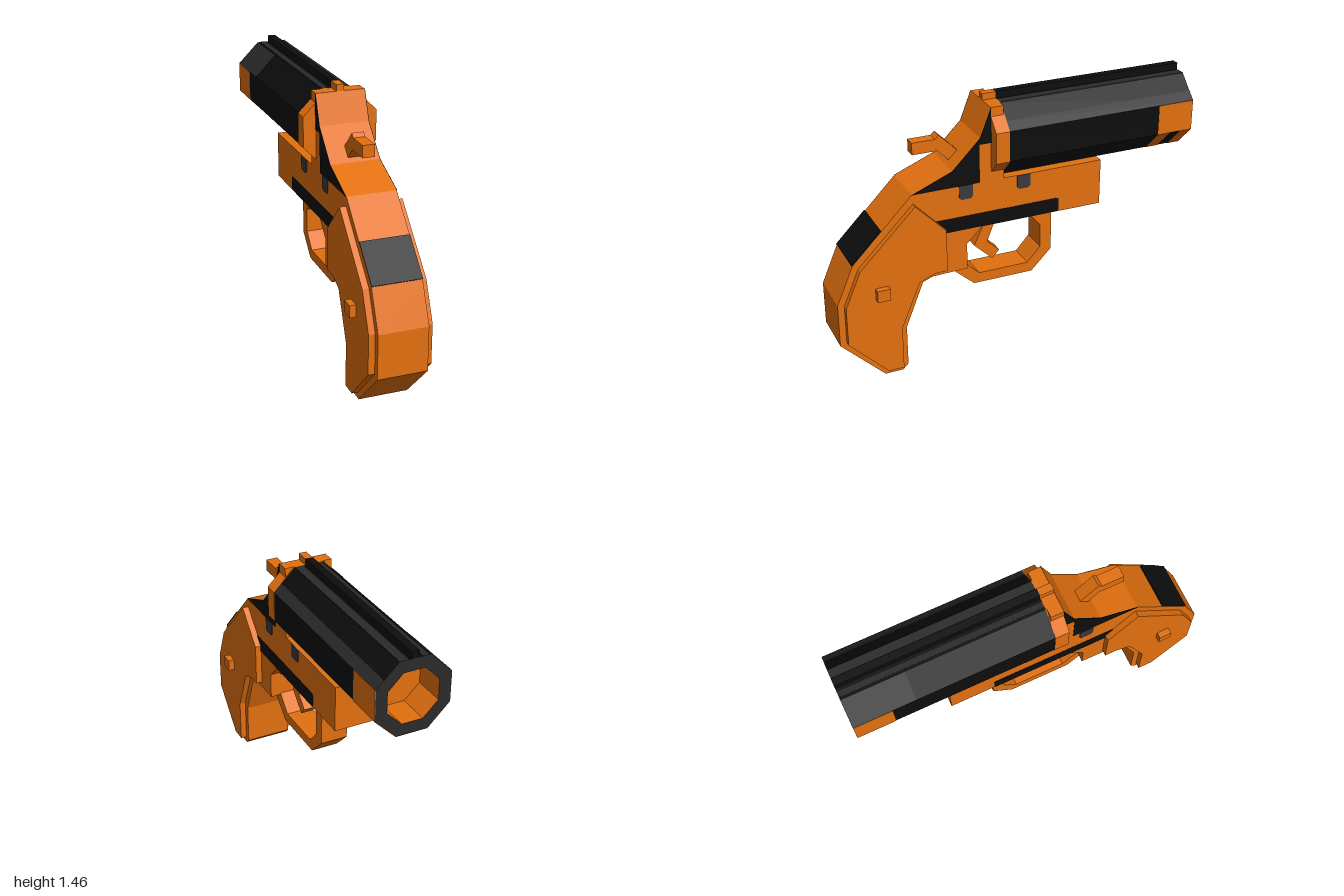
import * as THREE from 'three';

const mat = (name, color) => new THREE.MeshStandardMaterial({ name, color, side: THREE.DoubleSide });

export function createModel() {
  const orange = mat('orange', 0xe2700f);
  const black = mat('black', 0x0d0d0d);
  const grey = mat('dark grey', 0x2a2a2a);
  const pegGrey = mat('peg grey', 0x3a3a3d);
  const model = new THREE.Group();

  const add = (name, geometry, material, parent = model) => {
    const mesh = new THREE.Mesh(geometry, material);
    mesh.name = name;
    parent.add(mesh);
    return mesh;
  };
  const toPoints = (list) => list.map(([z, y]) => new THREE.Vector2(z, y));

  // Side profile of [z, y] points, extruded across x from x0 to x1
  const slab = (name, points, x0, x1, material, hole) => {
    const shape = new THREE.Shape(toPoints(points));
    if (hole) shape.holes.push(new THREE.Path(toPoints(hole)));
    const g = new THREE.ExtrudeGeometry(shape, { depth: x1 - x0, bevelEnabled: false });
    g.translate(0, 0, -x1).rotateY(-Math.PI / 2);
    return add(name, g, material);
  };
  // The same profile on both flanks
  const pair = (name, points, x0, x1, material) => {
    slab(name + 'Left', points, x0, x1, material);
    slab(name + 'Right', points, -x1, -x0, material);
  };
  const rect = (z0, z1, y0, y1) => [[z0, y0], [z1, y0], [z1, y1], [z0, y1]];

  // Frame and grip core
  slab('frame', [
    [-0.49, 1.02], [0.58, 1.02], [0.91, 0.685], [1, 0.475], [1, 0.235], [0.765, 0], [0.665, 0],
    [0.635, 0.03], [0.635, 0.26], [0.535, 0.51], [0.48, 0.53], [0.285, 0.535], [0.285, 0.68],
    [0.2, 0.765], [-0.49, 0.765],
  ], -0.132, 0.132, orange);

  // Raised grip panels with square studs
  pair('gripPanel', [
    [0.575, 0.97], [0.88, 0.665], [0.965, 0.465], [0.965, 0.25], [0.755, 0.035], [0.67, 0.035],
    [0.67, 0.28], [0.565, 0.53], [0.48, 0.565], [0.41, 0.565], [0.41, 0.8],
  ], 0.13, 0.166, orange);
  pair('gripStud', rect(0.735, 0.805, 0.485, 0.55), 0.16, 0.2, orange);

  // Black patch on the sloping back of the grip
  slab('backPatch', [[0.748, 0.85], [0.91, 0.685], [0.914, 0.689], [0.752, 0.854]], -0.132, 0.132, black);

  // Trigger guard and trigger
  slab('triggerGuard', [
    [0.37, 0.54], [0.37, 0.53], [0.225, 0.4], [-0.115, 0.4], [-0.23, 0.515], [-0.23, 0.78], [0.37, 0.78],
  ], -0.075, 0.075, orange, [
    [0.19, 0.765], [0.285, 0.67], [0.285, 0.545], [0.195, 0.457], [-0.09, 0.457],
    [-0.165, 0.54], [-0.165, 0.67], [-0.085, 0.765],
  ]);
  slab('trigger', [
    [0.13, 0.78], [0.13, 0.765], [0.205, 0.605], [0.1, 0.505], [0.06, 0.55], [0.13, 0.615],
    [0.07, 0.765], [0.07, 0.78],
  ], -0.035, 0.035, orange);

  // Rear block, with black cheeks
  slab('rearBlock', [
    [0.58, 1.02], [0.36, 1.11], [0.205, 1.265], [0.145, 1.42], [0.075, 1.42], [0.075, 1.02],
  ], -0.132, 0.132, orange);
  pair('blackCheek', [
    [0.58, 1.02], [0.36, 1.11], [0.205, 1.265], [0.145, 1.42], [0.145, 1.23], [0.21, 1.23], [0.21, 1.02],
  ], 0.131, 0.135, black);

  // Hammer
  slab('hammer', [
    [0.535, 1.19], [0.535, 1.255], [0.41, 1.255], [0.39, 1.275], [0.27, 1.155], [0.32, 1.11], [0.4, 1.19],
  ], -0.032, 0.032, orange);

  // Painted bars and pegs on the flanks
  pair('sideBar', [
    [0.48, 0.768], [-0.235, 0.768], [-0.242, 0.775], [-0.242, 0.838], [-0.235, 0.845], [0.48, 0.845],
  ], 0.131, 0.135, black);
  for (const z of [0.2875, -0.0375]) {
    pair('peg', [
      [z - 0.038, 1.02], [z - 0.038, 0.955], [z - 0.026, 0.943], [z + 0.026, 0.943],
      [z + 0.038, 0.955], [z + 0.038, 1.02],
    ], 0.131, 0.137, pegGrey);
  }

  // Eight-sided barrel group, centred on the bore axis
  const barrel = new THREE.Group();
  barrel.name = 'barrel';
  barrel.position.y = 1.22;
  model.add(barrel);
  const R = 0.198 / Math.cos(Math.PI / 8);
  const bore = 0.135 / Math.cos(Math.PI / 8);
  const tube = (radius, z0, z1, open) => new THREE.CylinderGeometry(radius, radius, z1 - z0, 8, 1, open, Math.PI / 8)
    .rotateX(Math.PI / 2).translate(0, 0, (z0 + z1) / 2).toNonIndexed();
  const flat = (g) => { g.computeVertexNormals(); return g; };
  add('barrelShell', flat(tube(R, -1, 0.08, true)), black, barrel);
  add('boreWall', flat(tube(bore, -1, -0.83, true).scale(1, 1, 1)), orange, barrel);
  add('boreFloor', new THREE.CircleGeometry(bore, 8, Math.PI / 8).rotateY(Math.PI).translate(0, 0, -0.83), orange, barrel);
  add('muzzleRing', new THREE.RingGeometry(bore, R, 8, 1, Math.PI / 8).rotateY(Math.PI).translate(0, 0, -1), grey, barrel);
  add('collar', flat(tube(0.2 / Math.cos(Math.PI / 8), 0.07, 0.145, false)), orange, barrel);

  // Thin plate on one barrel face; angle is measured from the top towards +x
  const plate = (name, degrees, u0, u1, z0, z1, material) => {
    const g = new THREE.BoxGeometry(u1 - u0, 0.004, z1 - z0);
    g.translate((u0 + u1) / 2, 0.198, (z0 + z1) / 2).rotateZ(-degrees * Math.PI / 180);
    add(name, g, material, barrel);
  };
  for (const s of [1, -1]) {
    plate('muzzleSidePatch', s * 90, -0.082, 0.082, -1, -0.795, orange);
    plate('muzzleLowerStripe', s * 135, -0.082, 0.082, -1, -0.93, orange);
    plate('muzzleLowerStripe', s * 135, -0.082, 0.082, -0.865, -0.795, orange);
  }
  plate('slopeStrip', 45, 0.023, 0.082, -1, 0.07, grey);
  plate('slopePatch', -45, -0.082, 0.082, -1, -0.67, grey);
  plate('topStrip', 0, 0.035, 0.08, -1, 0.07, grey);
  plate('topStrip', 0, -0.07, -0.04, -1, 0.07, grey);

  // Sighting rib, with an orange rear end
  const rib = (name, z0, z1, material) => add(name,
    new THREE.BoxGeometry(0.042, 0.05, z1 - z0).translate(0, 0.21, (z0 + z1) / 2), material, barrel);
  rib('sightRib', -1, 0.07, black);
  rib('rearSight', 0.07, 0.145, orange);

  return model;
}
